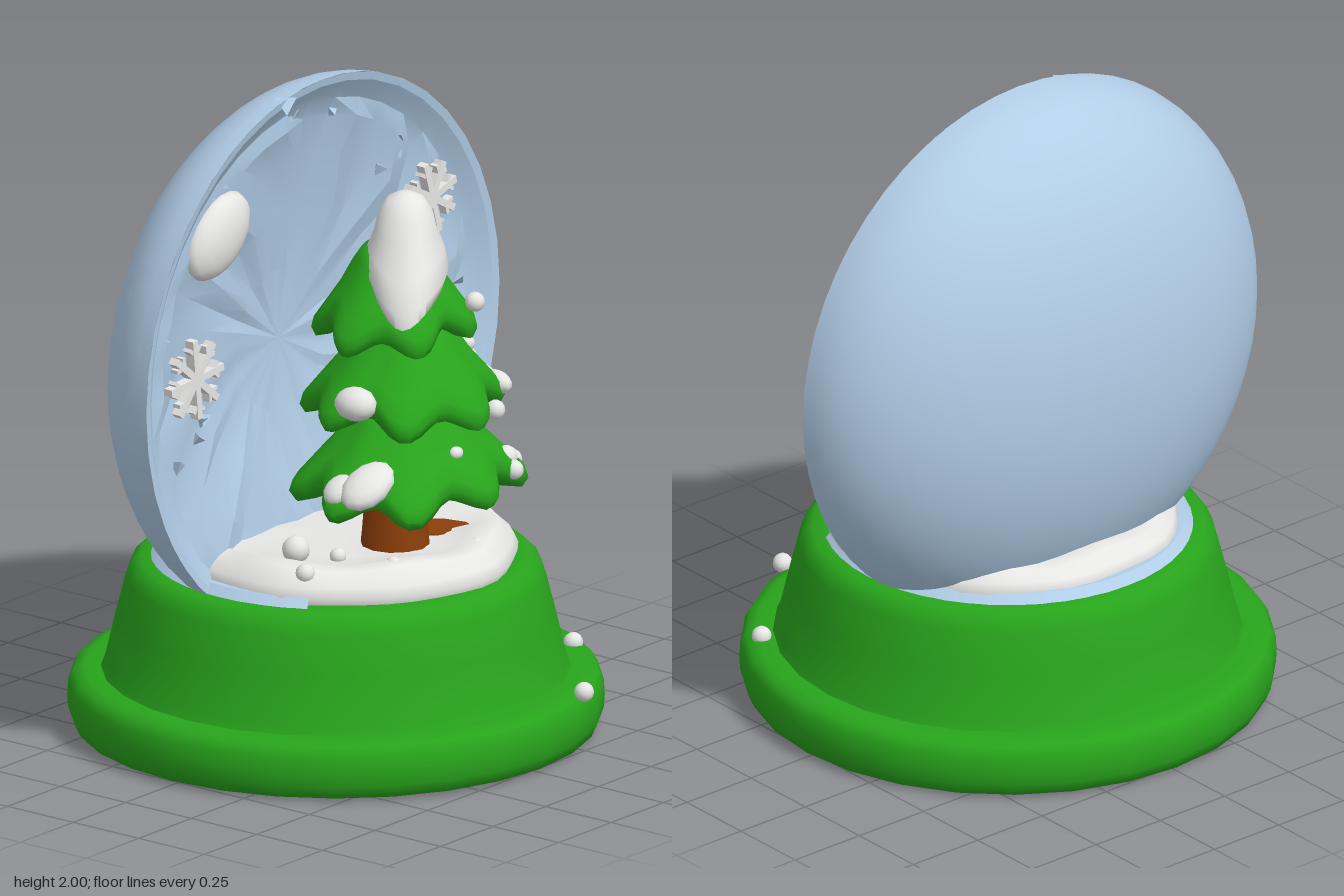
import * as THREE from 'three';
import { mergeVertices, toCreasedNormals } from 'three/addons/utils/BufferGeometryUtils.js';

const mat = (name, color) => Object.assign(new THREE.MeshStandardMaterial({ color }), { name });

// Lathe with an optional vertex rule, welded and given creased normals
function turned(points, sides, crease, rule) {
  let geo = new THREE.LatheGeometry(points.map(p => new THREE.Vector2(...p)), sides);
  geo.deleteAttribute('uv');
  geo.deleteAttribute('normal');
  geo = mergeVertices(geo, 1e-4);
  if (rule) {
    const pos = geo.attributes.position, v = new THREE.Vector3();
    for (let i = 0; i < pos.count; i++) {
      v.fromBufferAttribute(pos, i);
      rule(v, Math.hypot(v.x, v.z), Math.atan2(v.z, v.x));
      pos.setXYZ(i, v.x, v.y, v.z);
    }
  }
  geo.computeVertexNormals();
  return toCreasedNormals(geo, crease);
}

function seeded(seed) {
  return () => (seed = (seed * 16807) % 2147483647) / 2147483647;
}

export function createModel() {
  const root = new THREE.Group();
  root.name = 'snowGlobe';
  const green = mat('green', 0x28a41c);
  const glass = mat('paleBlueGlass', 0xb2cee8);
  const white = mat('snowWhite', 0xe6e6e5);
  const brown = mat('barkBrown', 0x8c3f0a);
  const rand = seeded(41);

  const add = (parent, name, geo, material, x = 0, y = 0, z = 0) => {
    const m = new THREE.Mesh(geo, material);
    m.name = name;
    m.position.set(x, y, z);
    parent.add(m);
    return m;
  };
  const blob = (parent, name, p, s, rot = [0, 0, 0]) => {
    const m = add(parent, name, new THREE.SphereGeometry(1, 12, 8), white, ...p);
    m.scale.set(...s);
    m.rotation.set(...rot);
    return m;
  };

  // Stepped base
  add(root, 'base', turned([[0, 0.01], [0.68, 0.008], [0.74, 0], [0.78, 0.012], [0.797, 0.05], [0.8, 0.09], [0.797, 0.14],
    [0.78, 0.17], [0.75, 0.18], [0.7, 0.18], [0.69, 0.2], [0.655, 0.35], [0.625, 0.47], [0.61, 0.505], [0.585, 0.525], [0.54, 0.53], [0, 0.53]],
  28, 1.05), green);

  // Glass collar round the back, and snowy ground
  add(root, 'glassCollar', new THREE.CylinderGeometry(0.525, 0.555, 0.03, 32, 1, false, 1.05, Math.PI * 2 - 2.1), glass, 0, 0.54, 0);
  add(root, 'snowGround', turned([[0, 0.525], [0.54, 0.525], [0.55, 0.55], [0.535, 0.58], [0.49, 0.625], [0.44, 0.632], [0.4, 0.618], [0.3, 0.61], [0, 0.61]],
    40, 1, (v, r, a) => {
      if (r > 0.35) {
        const k = 1 + 0.012 * Math.sin(5 * a) + 0.008 * Math.sin(9 * a + 1);
        v.x *= k;
        v.z *= k;
        if (v.y > 0.6) v.y += 0.008 * Math.sin(7 * a) + 0.04 * Math.min(0, v.z);
      }
      v.x = v.x * 0.95 + 0.01;
      v.z = v.z * 0.97 + 0.015;
    }), white);
  const mounds = [[-0.34, 0.65, 0.12, 0.042], [-0.2, 0.62, 0.38, 0.025], [0.12, 0.615, 0.44, 0.022],
    [-0.42, 0.615, 0.22, 0.03], [-0.24, 0.62, 0.2, 0.025], [0.2, 0.615, 0.4, 0.02]];
  for (const [x, y, z, s] of mounds) blob(root, 'snowMound', [x, y, z], [s, s, s]);
  const patch = add(root, 'barePatch', new THREE.CylinderGeometry(0.08, 0.08, 0.009, 9), brown, 0.18, 0.61, 0.23);
  patch.scale.z = 1.5;
  patch.rotation.y = 0.585;

  // Half dome: smooth back and a shallow dented front
  const dome = new THREE.Group();
  dome.name = 'dome';
  dome.position.set(0, 1.16, -0.05);
  root.add(dome);
  const back = [];
  for (let i = 0; i <= 16; i++) {
    const a = (i / 16) * Math.PI / 2;
    back.push([i === 16 ? 0 : 0.84 * Math.cos(a), 0.47 * Math.sin(a)]);
  }
  add(dome, 'domeBack', turned(back, 56, 0.8), glass).rotation.x = -Math.PI / 2;
  const face = turned([[0, 0.17], [0.22, 0.16], [0.42, 0.12], [0.58, 0.085], [0.7, 0.06], [0.755, 0.048],
    [0.785, 0.028], [0.815, 0.006], [0.84, 0]], 40, 0.35, (v, r) => {
    if (r < 0.74) v.y += (rand() - 0.5) * 0.04 * Math.min(1, r / 0.6);
  });
  add(dome, 'domeFace', face, glass).rotation.x = -Math.PI / 2;

  // Small chips scattered over the inside of the dome
  for (let i = 0; i < 22; i++) {
    const a = -0.5 + rand() * 4.1, r = 0.5 + rand() * 0.24;
    const chip = add(dome, 'chip', new THREE.TetrahedronGeometry(0.015 + rand() * 0.015), glass,
      r * Math.cos(a), r * Math.sin(a), -0.06);
    chip.rotation.set(rand() * 6, rand() * 6, rand() * 6);
  }
  add(dome, 'rimChip', new THREE.TetrahedronGeometry(0.04), glass, -0.17, 0.8, -0.005);

  // Snowflakes and the oval flake
  const snowflake = (x, y, size, turn) => {
    const flake = new THREE.Group();
    flake.name = 'snowflake';
    flake.position.set(x, y, -0.06);
    root.add(flake);
    for (let i = 0; i < 8; i++) {
      const arm = new THREE.Group();
      arm.name = 'snowflakeArm';
      arm.rotation.z = turn + i * Math.PI / 4;
      flake.add(arm);
      add(arm, 'spoke', new THREE.BoxGeometry(size, 0.022, 0.03), white, size / 2, 0, 0);
      for (const s of [-1, 1]) {
        add(arm, 'barb', new THREE.BoxGeometry(0.035, 0.012, 0.026), white, size * 0.72, s * 0.012, 0).rotation.z = s * 0.8;
      }
    }
  };
  snowflake(-0.6, 1.21, 0.125, 0.1);
  snowflake(0.52, 1.5, 0.115, 0.3);
  const oval = add(root, 'ovalFlake', new THREE.SphereGeometry(1, 14, 10), white, -0.44, 1.61, -0.1);
  oval.scale.set(0.155, 0.105, 0.06);
  oval.rotation.z = 0.65;

  // Tree
  const tree = new THREE.Group();
  tree.name = 'tree';
  tree.position.set(0, 0, 0.25);
  root.add(tree);
  add(tree, 'trunk', turned([[0, 0.6], [0.105, 0.6], [0.1, 0.65], [0.092, 0.75], [0.085, 0.85], [0, 0.85]], 12, 0.8), brown, -0.005, 0, -0.02);

  // Each tier: edge radius, edge height, top height, lobes, phase, x stretch, z stretch, z shift
  const tiers = [
    [0.345, 0.835, 1.07, 8, 0.35, 1.05, 0.87, 0.03],
    [0.285, 1.085, 1.32, 7, 1.9, 1.06, 0.95, 0.02],
    [0.235, 1.315, 1.54, 6, 0.2, 1.04, 0.92, -0.02],
  ];
  tiers.forEach(([R, y, top, n, phase, sx, sz, dz], i) => {
    const h = top - y;
    const profile = [[0, y + 0.02], [R * 0.45, y - 0.005], [R * 0.8, y - 0.035], [R * 0.95, y - 0.035], [R, y - 0.005], [R * 0.97, y + h * 0.12],
      [R * 0.83, y + h * 0.33], [R * 0.66, y + h * 0.58], [R * 0.52, y + h * 0.85], [R * 0.42, top], [0, top + 0.02]];
    add(tree, 'treeTier' + (i + 1), turned(profile, 56, 1.1, (v, r, a) => {
      const t = r / R, w = Math.cos(n * a + phase) + 0.3 * Math.sin(3 * a + phase);
      const k = 1 + 0.1 * t * w;
      v.x *= k * sx;
      v.z *= k * sz;
      v.y -= 0.028 * t * t * w;
    }), green, -0.01, 0, dz);
  });

  // Snow cap, drawn out along a diagonal and sagging to the front right
  add(tree, 'snowCap', turned([[0, 1.46], [0.1, 1.46], [0.14, 1.465], [0.148, 1.49], [0.13, 1.54], [0.1, 1.6], [0.085, 1.65], [0.055, 1.695], [0.02, 1.712], [0, 1.713]],
    32, 1.2, (v, r, a) => {
      const t = (1.715 - v.y) / 0.27, rim = Math.min(1, r / 0.1);
      const along = -0.77 * v.x + 0.64 * v.z, across = 0.64 * v.x + 0.77 * v.z;
      const d = Math.max(0, Math.cos(a - 2.45)) ** 2 * t * t * rim;
      const long = along * (1 + 0.28 * t) + 0.085 * d, wide = across * (1 - 0.16 * t);
      v.x = -0.77 * long + 0.64 * wide;
      v.z = 0.64 * long + 0.77 * wide + 0.015;
      v.y += -0.12 * d + 0.012 * t * Math.sin(4 * a) * rim;
    }), white);

  // Snow resting on the branches
  const drifts = [
    [[-0.31, 0.89, 0.37], [0.1, 0.045, 0.07], [0.2, 0, 0.5]],
    [[-0.34, 0.87, 0.29], [0.06, 0.035, 0.05], [0, 0, 0.5]],
    [[-0.28, 1.125, 0.3], [0.055, 0.05, 0.07], [0, 0, 0.4]],
    [[0.29, 1.11, 0.24], [0.045, 0.05, 0.065], [0, 0, -0.3]],
    [[0.27, 1.095, 0.32], [0.04, 0.032, 0.08], [0, -0.2, -0.3]],
    [[0.24, 1.09, 0.42], [0.035, 0.035, 0.065], [0, -0.3, -0.3]],
    [[0.21, 1.2, 0.33], [0.025, 0.025, 0.025]],
    [[0.22, 0.87, 0.47], [0.04, 0.035, 0.035]],
    [[-0.04, 0.95, 0.49], [0.025, 0.02, 0.02]],
    [[-0.05, 1.19, 0.45], [0.015, 0.015, 0.015]],
  ];
  for (const d of drifts) blob(root, 'branchSnow', ...d);

  // Loose snowballs
  const balls = [[0.125, 1.37, 0.43], [0.085, 1.065, 0.54], [0.21, 0.84, 0.51], [0.29, 0.84, 0.44],
    [0.245, 0.185, 0.75], [0.605, 0.185, 0.42]];
  for (const p of balls) blob(root, 'snowball', p, [0.03, 0.03, 0.03]);

  return root;
}
